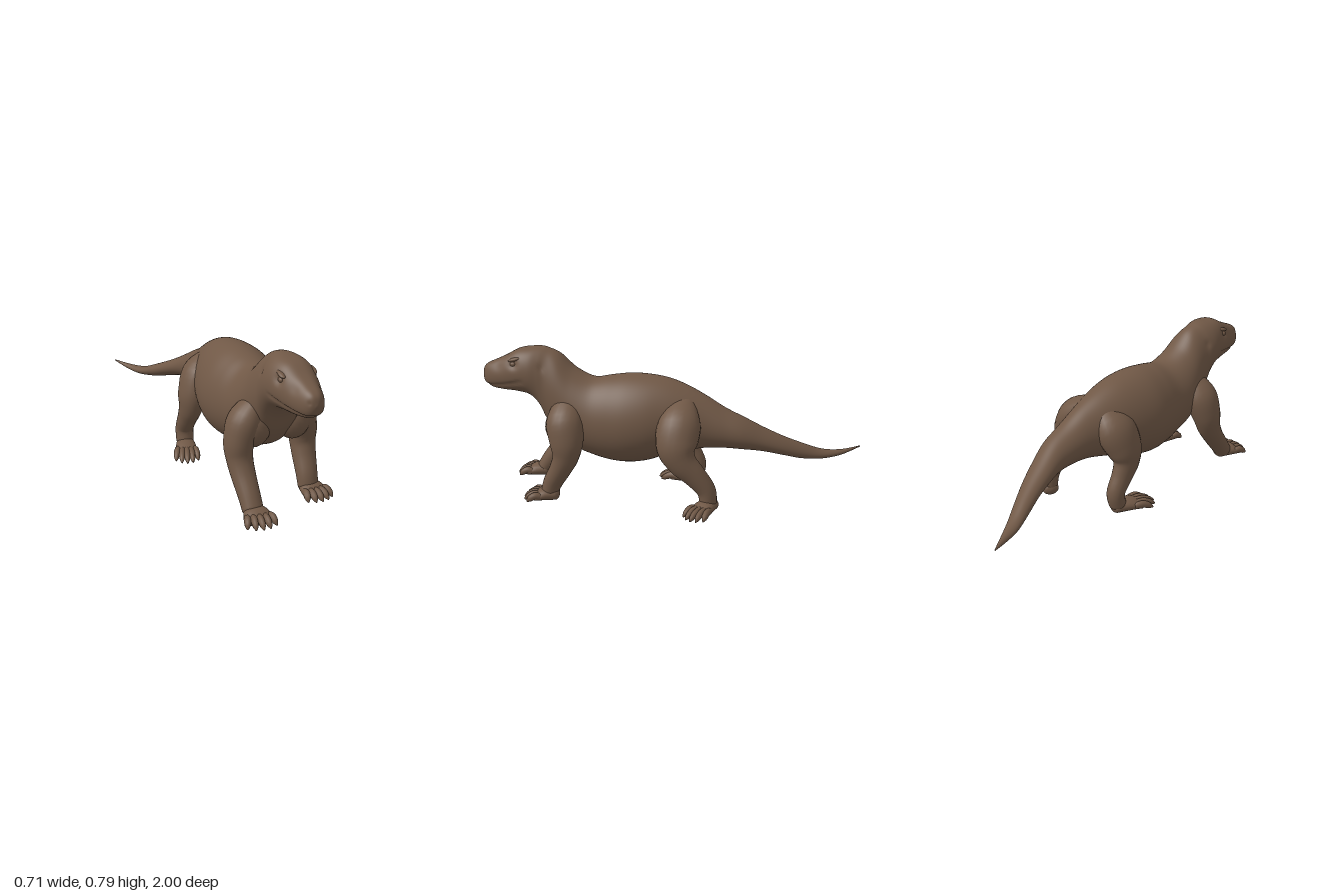
import * as THREE from 'three';

const skin = new THREE.MeshStandardMaterial({ color: 0x705846 });
skin.name = 'brown skin';

// Smooth interpolation through rows of numbers
function sampleRows(rows, t) {
  const last = rows.length - 1;
  const f = t * last, i = Math.min(Math.floor(f), last - 1), s = f - i;
  const at = k => rows[Math.max(0, Math.min(last, k))];
  const [a, b, c, d] = [at(i - 1), at(i), at(i + 1), at(i + 2)];
  return b.map((v, k) => v + 0.5 * s * (c[k] - a[k] + s * (2 * a[k] - 5 * v + 4 * c[k] - d[k]
    + s * (3 * (v - c[k]) + d[k] - a[k]))));
}

// Skin a list of rings (each an array of Vector3) into a closed smooth surface
function skinRings(rings, name) {
  const n = rings[0].length, pos = [], idx = [];
  for (const ring of rings) for (const p of ring) pos.push(p.x, p.y, p.z);
  for (let i = 0; i < rings.length - 1; i++) {
    for (let j = 0; j < n; j++) {
      const a = i * n + j, b = i * n + (j + 1) % n;
      idx.push(a, b, b + n, a, b + n, a + n);
    }
  }
  [0, rings.length - 1].forEach((r, end) => {
    const c = new THREE.Vector3();
    rings[r].forEach(p => c.addScaledVector(p, 1 / n));
    const centre = pos.length / 3;
    pos.push(c.x, c.y, c.z);
    for (let j = 0; j < n; j++) {
      const a = r * n + j, b = r * n + (j + 1) % n;
      if (end) idx.push(centre, a, b); else idx.push(centre, b, a);
    }
  });
  const g = new THREE.BufferGeometry();
  g.setAttribute('position', new THREE.Float32BufferAttribute(pos, 3));
  g.setIndex(idx);
  g.computeVertexNormals();
  const mesh = new THREE.Mesh(g, skin);
  mesh.name = name;
  return mesh;
}

// Tapered limb with rounded ends; rows are [x, y, z, side radius, depth radius]
function limb(name, rows, steps = 28, sides = 22) {
  const rings = [];
  const addRing = (t, scale, shift) => {
    const [x, y, z, ru, rv] = sampleRows(rows, t);
    const p0 = sampleRows(rows, Math.max(0, t - 0.01)), p1 = sampleRows(rows, Math.min(1, t + 0.01));
    const dir = new THREE.Vector3(p1[0] - p0[0], p1[1] - p0[1], p1[2] - p0[2]).normalize();
    const u = new THREE.Vector3(1, 0, 0).addScaledVector(dir, -dir.x).normalize();
    const v = new THREE.Vector3().crossVectors(dir, u);
    const c = new THREE.Vector3(x, y, z).addScaledVector(dir, shift * Math.min(ru, rv));
    rings.push(Array.from({ length: sides }, (_, j) => {
      const a = j / sides * Math.PI * 2;
      return c.clone().addScaledVector(u, ru * scale * Math.cos(a)).addScaledVector(v, rv * scale * Math.sin(a));
    }));
  };
  for (let k = 3; k > 0; k--) addRing(0, Math.cos(k * 0.45), -0.6 * Math.sin(k * 0.45));
  for (let i = 0; i <= steps; i++) addRing(i / steps, 1, 0);
  for (let k = 1; k <= 3; k++) addRing(1, Math.cos(k * 0.45), 0.6 * Math.sin(k * 0.45));
  return skinRings(rings, name);
}

// Tail, torso, neck and head: [z, centre x, half width, top y, bottom y]
const BODY = [
  [-1, -0.352, 0.003, 0.232, 0.226], [-0.9, -0.285, 0.022, 0.226, 0.197],
  [-0.8, -0.228, 0.042, 0.24, 0.192], [-0.7, -0.17, 0.055, 0.285, 0.208],
  [-0.6, -0.118, 0.066, 0.335, 0.24], [-0.5, -0.078, 0.077, 0.39, 0.268],
  [-0.4, -0.045, 0.087, 0.45, 0.283], [-0.3, -0.035, 0.097, 0.5, 0.288],
  [-0.2, -0.033, 0.112, 0.56, 0.282], [-0.1, -0.035, 0.142, 0.61, 0.262],
  [0, -0.035, 0.172, 0.645, 0.235], [0.1, -0.032, 0.198, 0.66, 0.2],
  [0.2, -0.03, 0.207, 0.662, 0.184], [0.3, -0.025, 0.195, 0.65, 0.19],
  [0.4, -0.02, 0.175, 0.637, 0.215], [0.5, -0.02, 0.16, 0.682, 0.25],
  [0.58, -0.018, 0.138, 0.755, 0.3], [0.64, -0.018, 0.122, 0.782, 0.38],
  [0.68, -0.017, 0.12, 0.79, 0.47], [0.73, -0.013, 0.12, 0.787, 0.53],
  [0.8, -0.008, 0.109, 0.775, 0.548], [0.87, -0.003, 0.089, 0.738, 0.553],
  [0.93, 0, 0.069, 0.71, 0.56], [0.97, 0, 0.05, 0.692, 0.572],
  [0.991, 0, 0.03, 0.672, 0.595], [1, 0, 0.005, 0.64, 0.63],
];

// Soft hollows on both sides of the head: [x, y, z, radius, depth]
const HOLLOWS = [
  [0.095, 0.708, 0.808, 0.024, 0.012],
  [0.03, 0.648, 0.985, 0.01, 0.005],
  [0.112, 0.7, 0.655, 0.017, 0.012],
  [0.065, 0.69, 0.9, 0.03, 0.004],
];

function body() {
  const steps = 150, sides = 64, rings = [];
  for (let i = 0; i <= steps; i++) {
    const [z, cx, hw, top, bottom] = sampleRows(BODY, i / steps);
    const cy = (top + bottom) / 2, hh = (top - bottom) / 2;
    // The skull is boxier than the torso
    const power = 1 - 0.25 * THREE.MathUtils.smoothstep(z, 0.62, 0.76);
    rings.push(Array.from({ length: sides }, (_, j) => {
      const a = j / sides * Math.PI * 2, s = Math.sin(a), c = Math.cos(a);
      const across = Math.sign(c) * Math.abs(c) ** power * (1 - 0.1 * s);
      const p = new THREE.Vector3(cx + hw * across, cy + hh * s, z);
      let dent = 0;
      for (const [x, y, hz, r, depth] of HOLLOWS) {
        const d2 = (Math.abs(p.x - cx) - x) ** 2 + (p.y - y) ** 2 + (z - hz) ** 2;
        dent += depth * Math.exp(-d2 / (r * r));
      }
      // Mouth crease
      if (z > 0.74) {
        const mouth = 0.575 + 0.05 * (Math.max(0, 1 - z) / 0.26) ** 1.5;
        dent += 0.007 * Math.min(1, (z - 0.74) / 0.03) * Math.exp(-(((p.y - mouth) / 0.008) ** 2));
      }
      const inward = new THREE.Vector3(cx - p.x, cy - p.y, 0);
      const len = inward.length();
      return p.addScaledVector(inward, Math.min(dent, len * 0.6) / Math.max(len, 1e-6));
    }));
  }
  return skinRings(rings, 'body');
}

function ellipsoid(name, x, y, z, rx, ry, rz) {
  const mesh = new THREE.Mesh(new THREE.SphereGeometry(1, 20, 14), skin);
  mesh.name = name;
  mesh.position.set(x, y, z);
  mesh.scale.set(rx, ry, rz);
  return mesh;
}

// Flat foot with five plump, clawed toes, pointing along its own +z
function foot(name, x, z, angle, length, width) {
  const group = new THREE.Group();
  group.name = name;
  group.add(limb('sole', [
    [0, 0.036, -0.03, 0.044, 0.033],
    [0, 0.036, length * 0.22, width * 0.42, 0.034],
    [0, 0.024, length * 0.55, width * 0.46, 0.022],
  ], 10));
  for (let i = -2; i <= 2; i++) {
    const start = i * width * 0.17, end = i * width * 0.225;
    const reach = length * (1 - 0.045 * i * i);
    const row = (k, y, r, h) => [
      start + (end - start) * k, y, length * 0.35 + (reach - length * 0.35) * k, r, h,
    ];
    group.add(limb('toe', [
      row(0, 0.034, 0.016, 0.018), row(0.35, 0.04, 0.017, 0.019), row(0.65, 0.031, 0.016, 0.018),
      row(0.85, 0.021, 0.012, 0.014), row(1, 0.012, 0.004, 0.005),
    ], 12, 10));
  }
  group.position.set(x, 0, z);
  group.rotation.y = angle;
  return group;
}

export function createModel() {
  const model = new THREE.Group();
  model.name = 'lizard';
  model.add(body());

  // Eyes under low brows
  for (const s of [-1, 1]) {
    const x = -0.008 + s * 0.08;
    model.add(ellipsoid('eye', x, 0.706, 0.81, 0.013, 0.013, 0.018));
    const brow = ellipsoid('brow', x - s * 0.003, 0.731, 0.805, 0.016, 0.01, 0.036);
    brow.rotation.x = 0.25;
    model.add(brow);
  }

  // Breast muscles joining the shoulders to the chest
  model.add(ellipsoid('leftBreast', 0.095, 0.39, 0.555, 0.09, 0.1, 0.08));
  model.add(ellipsoid('rightBreast', -0.125, 0.39, 0.58, 0.09, 0.1, 0.08));

  // Front legs
  model.add(limb('leftFrontLeg', [
    [0.065, 0.53, 0.52, 0.035, 0.06], [0.13, 0.43, 0.52, 0.083, 0.098], [0.168, 0.33, 0.505, 0.074, 0.09],
    [0.173, 0.25, 0.51, 0.065, 0.07], [0.17, 0.18, 0.54, 0.06, 0.058],
    [0.165, 0.1, 0.585, 0.054, 0.051], [0.165, 0.045, 0.605, 0.052, 0.045],
  ]));
  model.add(foot('leftFrontFoot', 0.17, 0.6, 0.1, 0.138, 0.15));
  model.add(limb('rightFrontLeg', [
    [-0.09, 0.53, 0.55, 0.035, 0.06], [-0.155, 0.43, 0.565, 0.083, 0.095], [-0.194, 0.33, 0.58, 0.074, 0.083],
    [-0.198, 0.25, 0.6, 0.065, 0.066], [-0.195, 0.18, 0.64, 0.06, 0.056],
    [-0.19, 0.1, 0.7, 0.054, 0.051], [-0.188, 0.045, 0.74, 0.052, 0.045],
  ]));
  model.add(foot('rightFrontFoot', -0.182, 0.75, -0.08, 0.138, 0.158));

  // Hind legs
  model.add(limb('leftHindLeg', [
    [0.03, 0.54, -0.09, 0.035, 0.06], [0.11, 0.45, -0.085, 0.088, 0.11], [0.17, 0.345, -0.08, 0.082, 0.107],
    [0.19, 0.27, -0.11, 0.062, 0.08], [0.185, 0.2, -0.175, 0.052, 0.062],
    [0.172, 0.12, -0.235, 0.05, 0.05], [0.172, 0.05, -0.247, 0.048, 0.045],
  ]));
  model.add(foot('leftHindFoot', 0.172, -0.248, 1.2, 0.185, 0.13));
  model.add(limb('rightHindLeg', [
    [-0.08, 0.54, -0.08, 0.035, 0.06], [-0.15, 0.45, -0.07, 0.085, 0.11], [-0.197, 0.345, -0.045, 0.077, 0.1],
    [-0.212, 0.27, -0.045, 0.06, 0.078], [-0.218, 0.2, -0.08, 0.05, 0.06],
    [-0.22, 0.12, -0.125, 0.048, 0.048], [-0.222, 0.05, -0.115, 0.047, 0.045],
  ]));
  model.add(foot('rightHindFoot', -0.225, -0.1, -0.28, 0.2, 0.13));

  return model;
}
